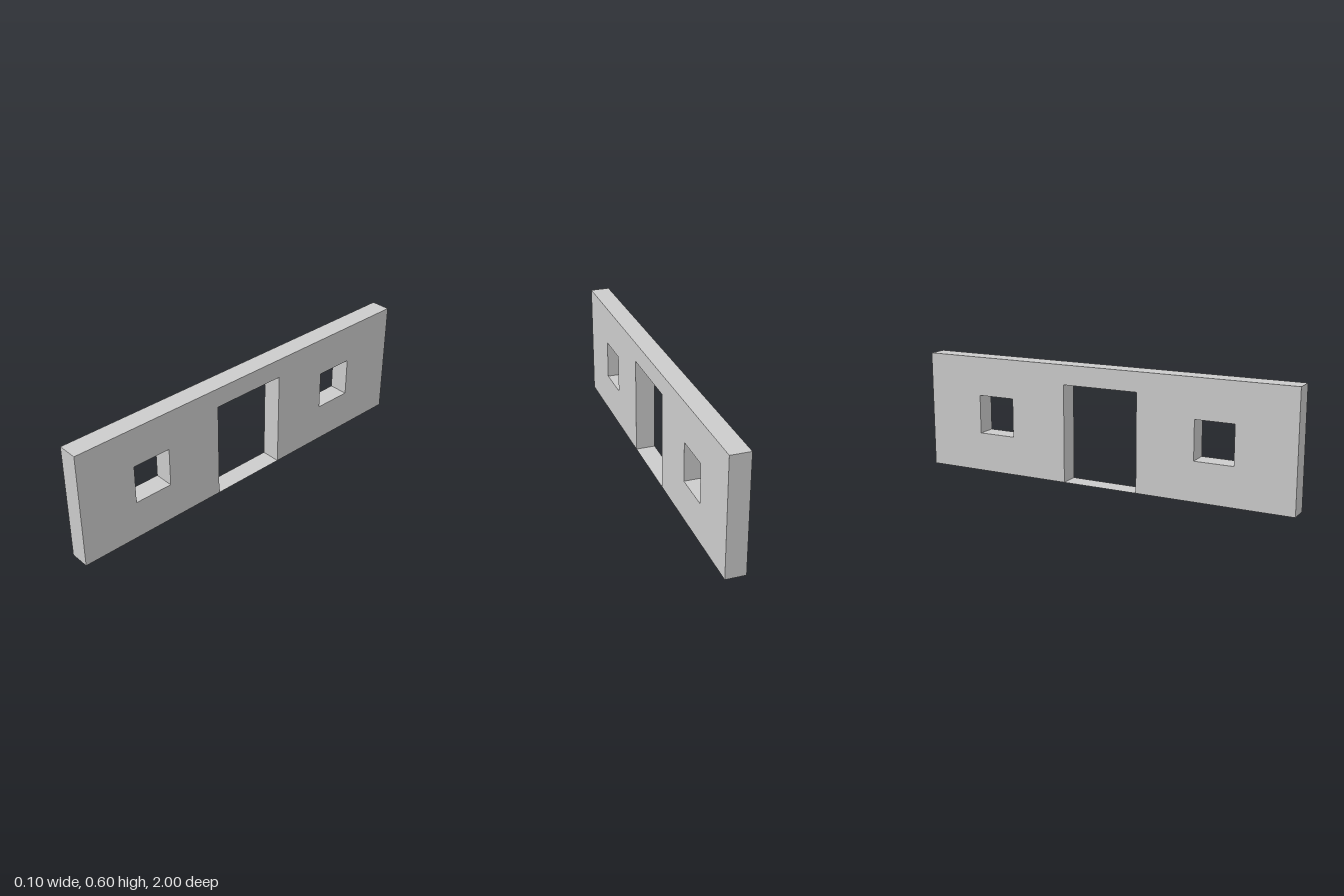
import * as THREE from 'three';

const LENGTH = 2, HEIGHT = 0.6, THICKNESS = 0.1;
const DOOR_WIDTH = 0.4, DOOR_HEIGHT = 0.5;
const WINDOW_SIZE = 0.2, WINDOW_OFFSET = 0.6, WINDOW_CENTRE_Y = 0.3;

// Square hole centred on (x, y)
function squareHole(x, y, size) {
  const h = size / 2;
  return new THREE.Path([
    new THREE.Vector2(x - h, y - h),
    new THREE.Vector2(x - h, y + h),
    new THREE.Vector2(x + h, y + h),
    new THREE.Vector2(x + h, y - h),
  ]);
}

export function createModel() {
  const group = new THREE.Group();
  group.name = 'wallWithDoorway';

  // Wall outline with the doorway cut up from the ground
  const l = LENGTH / 2, d = DOOR_WIDTH / 2;
  const outline = new THREE.Shape([
    [-l, 0], [-d, 0], [-d, DOOR_HEIGHT], [d, DOOR_HEIGHT],
    [d, 0], [l, 0], [l, HEIGHT], [-l, HEIGHT],
  ].map(([x, y]) => new THREE.Vector2(x, y)));

  // One window on each side of the door
  for (const side of [-1, 1]) {
    outline.holes.push(squareHole(side * WINDOW_OFFSET, WINDOW_CENTRE_Y, WINDOW_SIZE));
  }

  // The wall runs along z and is centred on x
  const wallGeometry = new THREE.ExtrudeGeometry(outline, { depth: THICKNESS, bevelEnabled: false });
  wallGeometry.translate(0, 0, -THICKNESS / 2);
  wallGeometry.rotateY(Math.PI / 2);
  const wall = new THREE.Mesh(wallGeometry, new THREE.MeshStandardMaterial({ color: 0xcccccc }));
  wall.name = 'wall';
  group.add(wall);

  // Paper-thin sill closing the doorway at ground level
  const sillGeometry = new THREE.PlaneGeometry(THICKNESS, DOOR_WIDTH);
  sillGeometry.rotateX(-Math.PI / 2);
  const sill = new THREE.Mesh(
    sillGeometry,
    new THREE.MeshStandardMaterial({ color: 0xcccccc, side: THREE.DoubleSide }),
  );
  sill.name = 'doorSill';
  group.add(sill);

  return group;
}
